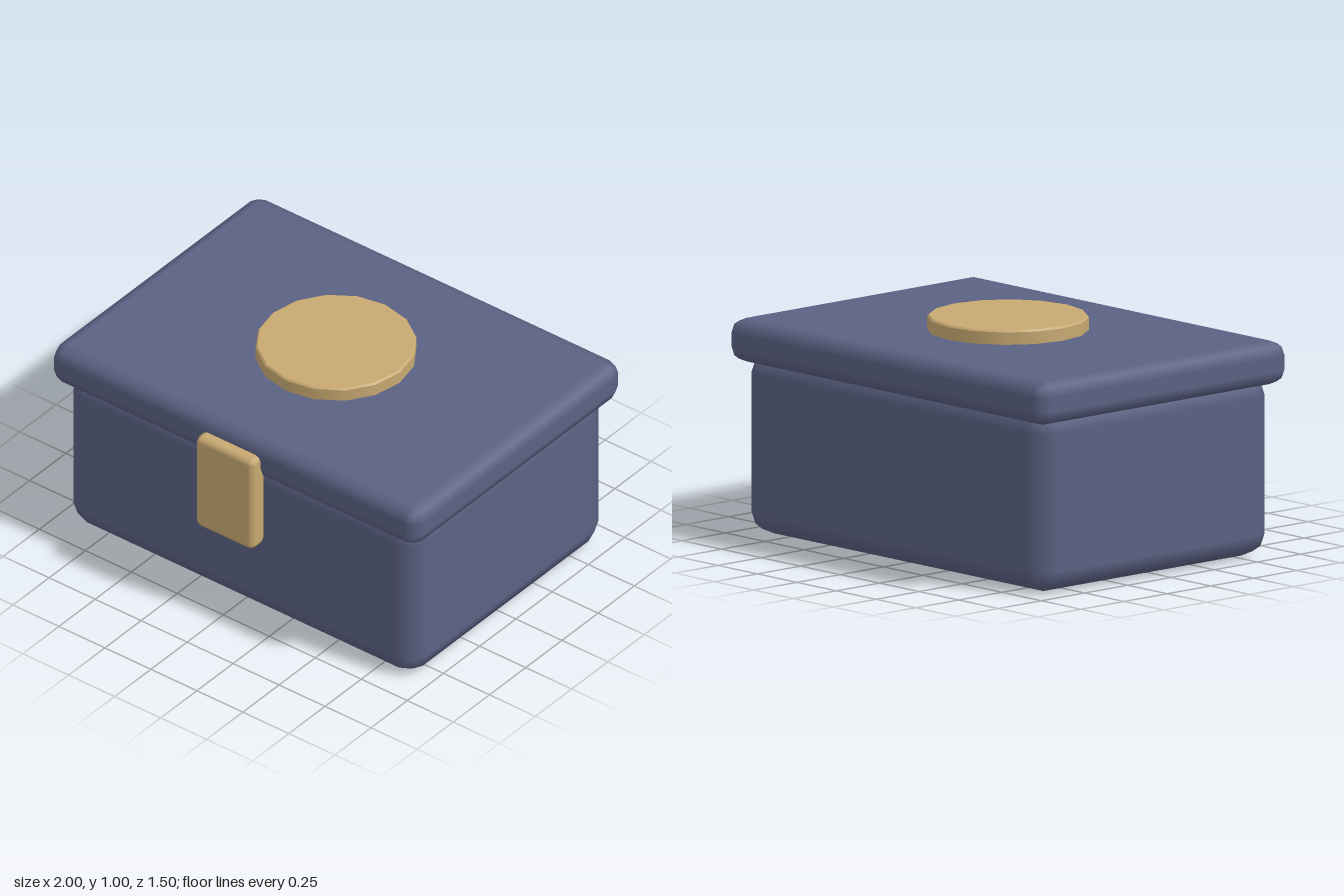
import * as THREE from 'three';
import { RoundedBoxGeometry } from 'three/addons/geometries/RoundedBoxGeometry.js';

export function createModel() {
  const group = new THREE.Group();
  const blue = new THREE.MeshStandardMaterial({ color: 0x5b6183 });
  blue.name = 'slate blue';
  const gold = new THREE.MeshStandardMaterial({ color: 0xc8a972 });
  gold.name = 'brass';

  const add = (name, geometry, material, x, y, z) => {
    const mesh = new THREE.Mesh(geometry, material);
    mesh.name = name;
    mesh.position.set(x, y, z);
    group.add(mesh);
  };

  const zMid = -0.028; // the clasp pushes the box slightly back from centre

  // Box body, its rounded top tucked inside the lid
  add('body', new RoundedBoxGeometry(1.9, 0.8, 1.346, 1, 0.1), blue, 0, 0.4, zMid);

  // Overhanging lid
  add('lid', new RoundedBoxGeometry(2, 0.19, 1.442, 1, 0.064), blue, 0, 0.843, zMid);

  // Front clasp
  add('clasp', new RoundedBoxGeometry(0.315, 0.472, 0.095, 1, 0.028), gold, 0, 0.638, 0.7025);

  // Sixteen-sided medallion with a fine bevel round its top edge
  add('medallion', new THREE.CylinderGeometry(0.346, 0.346, 0.072, 16), gold, 0, 0.956, zMid);
  add('medallionBevel', new THREE.CylinderGeometry(0.339, 0.346, 0.008, 16), gold, 0, 0.996, zMid);

  return group;
}
